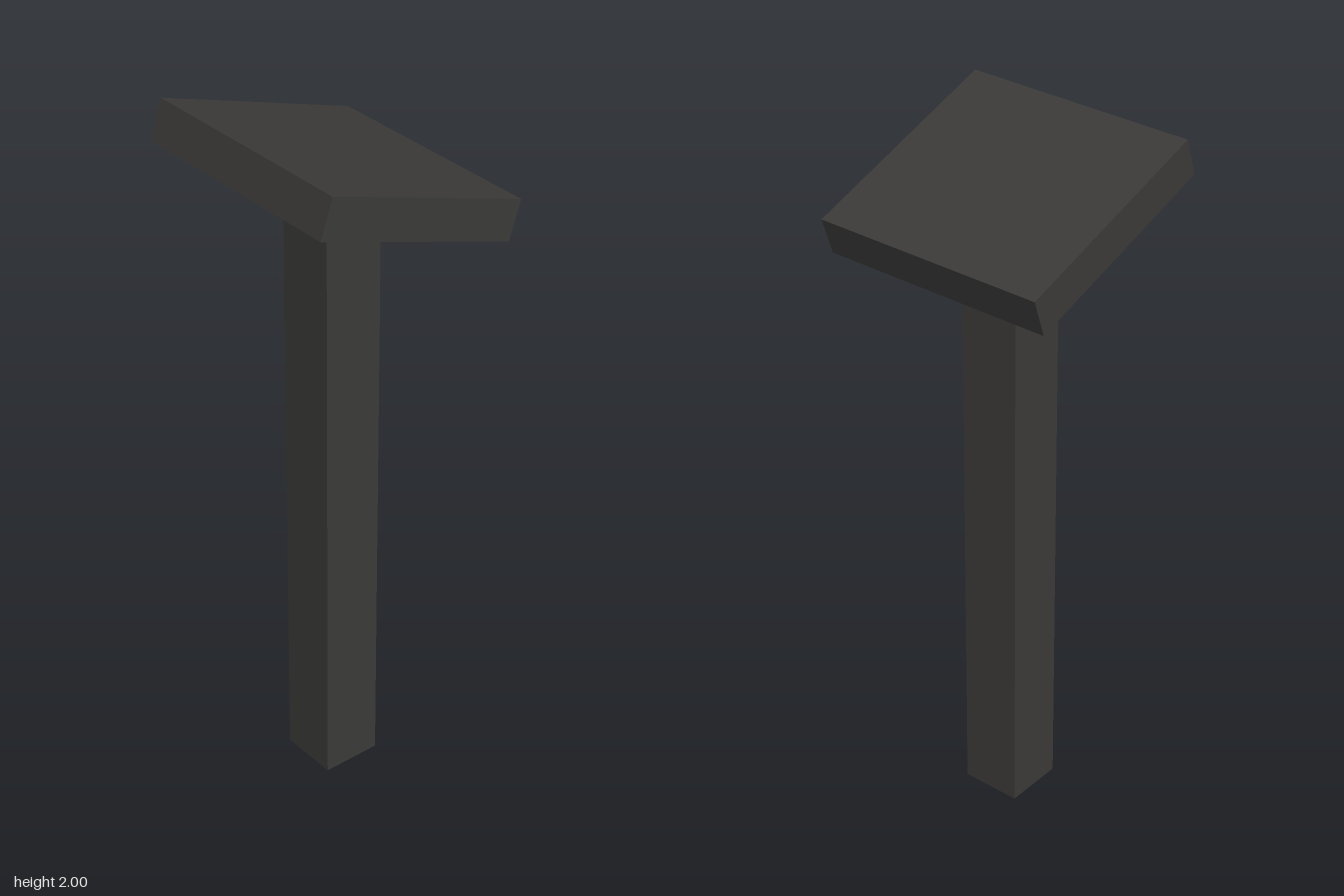
import * as THREE from 'three';

export function createModel() {
  const group = new THREE.Group();
  const material = new THREE.MeshStandardMaterial({ color: 0x3a3938, flatShading: true });

  function box(name, size, position) {
    const mesh = new THREE.Mesh(new THREE.BoxGeometry(...size), material);
    mesh.name = name;
    mesh.position.set(...position);
    group.add(mesh);
    return mesh;
  }

  // Square upright, its top end sunk into the panel
  const postHeight = 1.83;
  box('post', [0.175, postHeight, 0.175], [0, postHeight / 2, 0.01]);

  // Panel tilted so that it slopes down towards the back
  const panel = box('tiltedPanel', [0.683, 0.113, 0.634], [0, 1.844, 0]);
  panel.rotation.x = -THREE.MathUtils.degToRad(18.6);

  return group;
}
